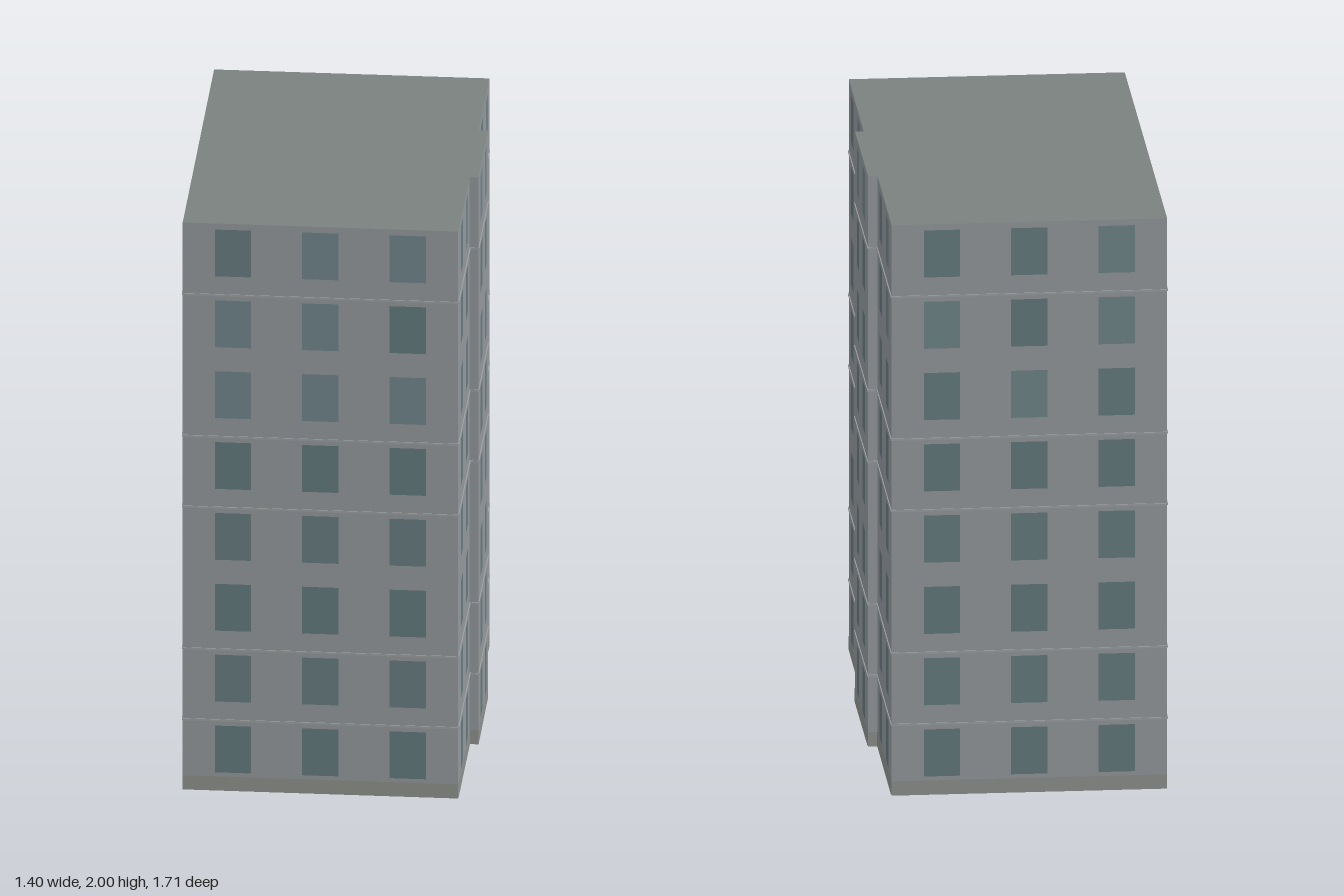
import * as THREE from 'three';

const HEIGHT = 2;
const FLOORS = 8;
const FLOOR_H = HEIGHT / FLOORS;

// Footprint corners [x, z], running so each wall's outside faces its local +z
const FOOTPRINT = [
  [-0.695, 0.479], [0.14, 0.85], [0.339, 0.377], [0.365, 0.389],
  [0.535, -0.019], [0.506, -0.031], [0.695, -0.481], [-0.14, -0.85],
];

// Window layouts: centres and width as fractions of the wall length
const THREE_BAYS = { centres: [0.183, 0.5, 0.817], width: 0.132 };
const TWO_BAYS = { centres: [0.275, 0.722], width: 0.176 };
const LAYOUTS = [THREE_BAYS, TWO_BAYS, null, TWO_BAYS, null, TWO_BAYS, THREE_BAYS, THREE_BAYS];

const LEDGE_LEVELS = [1, 2, 4, 5, 7];

const material = (color, side = THREE.FrontSide) =>
  new THREE.MeshStandardMaterial({ color, side, flatShading: true });

function seeded(seed) {
  let s = seed;
  return () => (s = (s * 16807) % 2147483647) / 2147483647;
}

export function createModel() {
  const model = new THREE.Group();
  model.name = 'apartmentBlock';

  const wallMat = material(0x94999c, THREE.DoubleSide);
  const roofMat = material(0x7a817e, THREE.DoubleSide);
  const ledgeMat = material(0x9da1a3);
  const plinthMat = material(0x8e918c);
  const glassMats = [material(0x647a7e), material(0x667c80), material(0x70858a)];
  const random = seeded(77);

  const add = (parent, name, geometry, mat, x, y, z) => {
    const mesh = new THREE.Mesh(geometry, mat);
    mesh.name = name;
    mesh.position.set(x, y, z);
    parent.add(mesh);
  };

  // One facade per footprint edge: wall, plinth, ledges and windows
  FOOTPRINT.forEach(([x0, z0], i) => {
    const [x1, z1] = FOOTPRINT[(i + 1) % FOOTPRINT.length];
    const length = Math.hypot(x1 - x0, z1 - z0);
    const facade = new THREE.Group();
    facade.name = 'facade' + (i + 1);
    facade.position.set(x0, 0, z0);
    facade.rotation.y = -Math.atan2(z1 - z0, x1 - x0);
    model.add(facade);

    add(facade, 'wall', new THREE.PlaneGeometry(length, HEIGHT), wallMat, length / 2, HEIGHT / 2, 0);
    add(facade, 'plinth', new THREE.PlaneGeometry(length, 0.05), plinthMat, length / 2, 0.025, 0.001);

    // Thin string courses between floors
    for (const level of LEDGE_LEVELS) {
      add(facade, 'ledge', new THREE.BoxGeometry(length, 0.007, 0.003), ledgeMat,
        length / 2, level * FLOOR_H - 0.002, 0.0016);
    }

    // Window grid
    const layout = LAYOUTS[i];
    if (!layout) return;
    const pane = new THREE.PlaneGeometry(layout.width * length, 0.165);
    for (let floor = 0; floor < FLOORS; floor++) {
      for (const centre of layout.centres) {
        const tint = floor > 4 && random() < 0.35 ? 2 : floor % 2;
        add(facade, 'window', pane, glassMats[tint], centre * length, floor * FLOOR_H + 0.147, 0.002);
      }
    }
  });

  // Flat roof closing the top; the underside stays open
  const outline = new THREE.Shape(FOOTPRINT.map(([x, z]) => new THREE.Vector2(x, -z)));
  const roof = new THREE.ShapeGeometry(outline).rotateX(-Math.PI / 2);
  add(model, 'roof', roof, roofMat, 0, HEIGHT, 0);

  return model;
}
